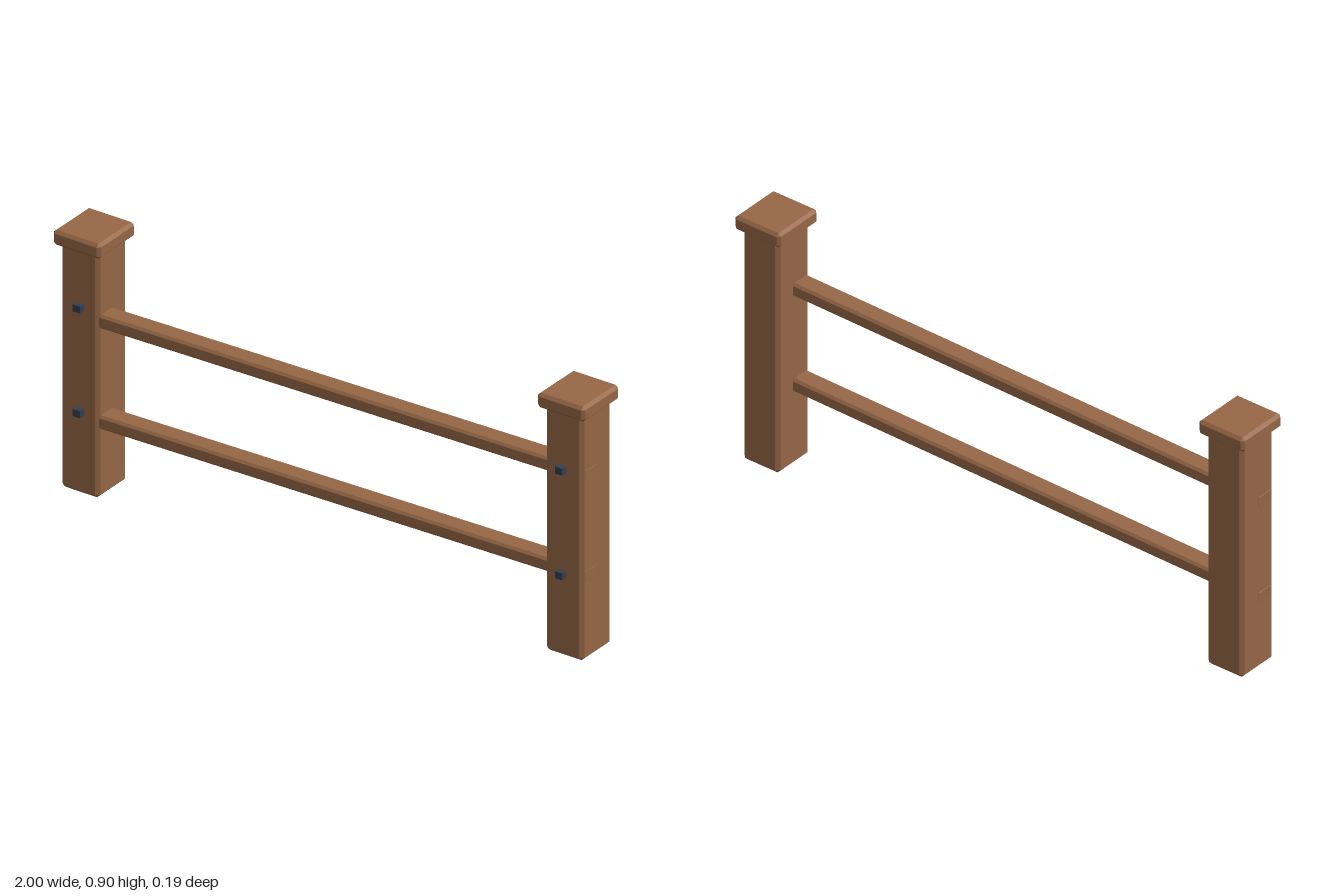
import * as THREE from 'three';
import { ConvexGeometry } from 'three/addons/geometries/ConvexGeometry.js';

// Box with every edge cut by a flat chamfer c: three points at each corner
function chamferBox(w, h, d, c) {
  const points = [];
  for (const sx of [-1, 1]) for (const sy of [-1, 1]) for (const sz of [-1, 1]) {
    const x = w / 2, y = h / 2, z = d / 2;
    points.push(
      new THREE.Vector3(sx * x, sy * (y - c), sz * (z - c)),
      new THREE.Vector3(sx * (x - c), sy * y, sz * (z - c)),
      new THREE.Vector3(sx * (x - c), sy * (y - c), sz * z)
    );
  }
  return new ConvexGeometry(points);
}

export function createModel() {
  const wood = new THREE.MeshStandardMaterial({ color: 0x966746 });
  wood.name = 'brown wood';
  const iron = new THREE.MeshStandardMaterial({ color: 0x333f4e });
  iron.name = 'dark iron';

  const fence = new THREE.Group();
  fence.name = 'fence';
  const add = (name, geometry, material, x, y, z) => {
    const mesh = new THREE.Mesh(geometry, material);
    mesh.name = name;
    mesh.position.set(x, y, z);
    fence.add(mesh);
    return mesh;
  };

  const postGeometry = chamferBox(0.142, 0.86, 0.155, 0.012);
  const capGeometry = chamferBox(0.178, 0.052, 0.193, 0.01);
  const boltGeometry = new THREE.BoxGeometry(0.028, 0.024, 0.04);
  const railGeometry = chamferBox(1.966, 0.048, 0.073, 0.008);

  // Posts with caps and front bolts
  for (const [side, s] of [['left', 1], ['right', -1]]) {
    add(side + 'Post', postGeometry, wood, s * 0.911, 0.43, 0);
    add(side + 'Cap', capGeometry, wood, s * 0.911, 0.871, 0);
    add(side + 'UpperBolt', boltGeometry, iron, s * 0.907, 0.652, 0.0785);
    add(side + 'LowerBolt', boltGeometry, iron, s * 0.907, 0.288, 0.0785);
  }

  // Slightly sloping rails, their ends showing through the posts
  for (const [name, y] of [['upperRail', 0.627], ['lowerRail', 0.277]]) {
    add(name, railGeometry, wood, 0, y, 0.032).rotation.z = 0.0165;
  }
  return fence;
}
